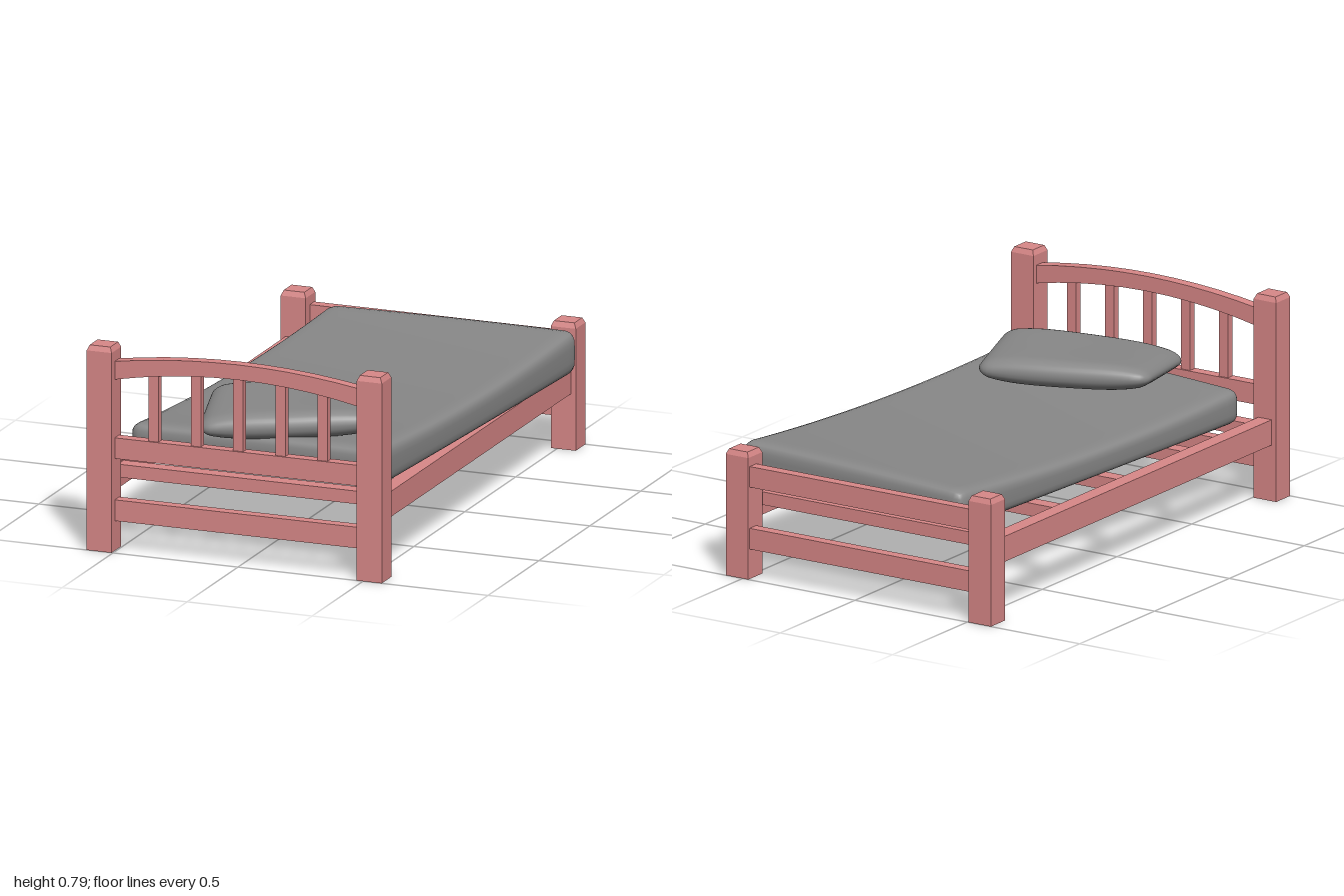
import * as THREE from 'three';
import { mergeVertices } from 'three/addons/utils/BufferGeometryUtils.js';

const CX = -0.015; // frame centre line
const wood = new THREE.MeshStandardMaterial({ color: 0xd98888, flatShading: true, side: THREE.DoubleSide });
const cloth = new THREE.MeshStandardMaterial({ color: 0x888888 });

function add(parent, name, geometry, material, x = 0, y = 0, z = 0) {
  const mesh = new THREE.Mesh(geometry, material);
  mesh.name = name;
  mesh.position.set(x, y, z);
  parent.add(mesh);
  return mesh;
}

// Box given by its centre in x and z and its lower and upper height
function bar(parent, name, x, z, y0, y1, w, d) {
  return add(parent, name, new THREE.BoxGeometry(w, y1 - y0, d), wood, x, (y0 + y1) / 2, z);
}

// Square post, chamfered on top and open underneath
function post(parent, name, x, z, h) {
  const k = Math.SQRT1_2;
  const profile = [[k, 0], [k, h - 0.02], [k * 0.82, h], [0, h]].map(p => new THREE.Vector2(...p));
  const g = new THREE.LatheGeometry(profile, 4);
  g.rotateY(Math.PI / 4);
  g.scale(0.1, 1, 0.094);
  add(parent, name, g, wood, x, 0, z);
}

// Soft rounded slab; warp receives the rounded point and its plan position (-1..1)
function softSlab(hx, hy, hz, r, warp) {
  let g = new THREE.BoxGeometry(2, 2, 2, 24, 10, 28);
  g.deleteAttribute('normal');
  g.deleteAttribute('uv');
  g = mergeVertices(g);
  const pos = g.attributes.position;
  const inner = new THREE.Vector3(hx - r, hy - r, hz - r);
  const low = inner.clone().negate();
  const p = new THREE.Vector3(), q = new THREE.Vector3();
  const ease = t => Math.sin(t * Math.PI / 2); // rows gather near the edges
  for (let i = 0; i < pos.count; i++) {
    p.fromBufferAttribute(pos, i);
    p.set(hx * ease(p.x), hy * ease(p.y), hz * ease(p.z));
    q.copy(p).clamp(low, inner);
    p.sub(q).setLength(r).add(q);
    warp(p, p.x / hx, p.z / hz);
    pos.setXYZ(i, p.x, p.y, p.z);
  }
  g.computeVertexNormals();
  return g;
}

// Blend four corner points: back right, back left, front right, front left
function blend(corners, u, v) {
  const weights = [(1 - u) * (1 - v), (1 + u) * (1 - v), (1 - u) * (1 + v), (1 + u) * (1 + v)];
  const out = new THREE.Vector3();
  corners.forEach((c, i) => out.addScaledVector(new THREE.Vector3(...c), weights[i] / 4));
  return out;
}

export function createModel() {
  const bed = new THREE.Group();
  bed.name = 'bed';
  const frame = new THREE.Group();
  frame.name = 'frame';
  frame.position.x = CX;
  bed.add(frame);

  // Posts and side rails
  for (const s of [-1, 1]) {
    post(frame, 'headPost', s * 0.54, 0.953, 0.79);
    post(frame, 'footPost', s * 0.54, -0.953, 0.49);
    bar(frame, 'sideRail', s * 0.54, 0, 0.217, 0.315, 0.06, 1.812);
  }

  // Cross rails at head and foot
  for (const z of [0.947, -0.968]) {
    bar(frame, 'lowerRail', 0, z, 0.115, 0.196, 0.98, 0.044);
    bar(frame, 'upperRail', 0, z, 0.355, 0.435, 0.98, 0.044);
  }

  // Slats under the mattress
  for (let i = -2; i <= 2; i++) bar(frame, 'slat', 0, i * 0.43, 0.26, 0.31, 1.02, 0.058);

  // Arched head rail
  const arch = new THREE.Shape();
  arch.moveTo(-0.49, 0.66);
  arch.quadraticCurveTo(0, 0.764, 0.49, 0.66);
  arch.lineTo(0.49, 0.73);
  arch.quadraticCurveTo(0, 0.81, -0.49, 0.73);
  const archGeo = new THREE.ExtrudeGeometry(arch, { depth: 0.044, bevelEnabled: false, curveSegments: 10 });
  add(frame, 'archRail', archGeo, wood, 0, 0, 0.925);

  // Headboard spindles, reaching into the arch
  for (let i = -2; i <= 2; i++) {
    const x = i * 0.169;
    bar(frame, 'spindle', x, 0.947, 0.43, 0.722 - 0.21 * x * x, 0.04, 0.03);
  }

  // Mattress, skewed on the frame and sagging in the middle
  const mattressTop = [[-0.415, 0.465, -0.915], [0.605, 0.487, -0.862], [-0.515, 0.45, 0.812], [0.512, 0.475, 0.872]];
  const mattress = softSlab(0.51, 0.08, 0.87, 0.045, (p, u, v) => {
    const c = blend(mattressTop, u, v);
    const top = c.y - 0.033 * (1 - v * v) + 0.004 * (1 - u * u);
    p.set(c.x, 0.313 + (top - 0.313) * (p.y / 0.16 + 0.5), c.z);
  });
  add(bed, 'mattress', mattress, cloth);

  // Pillow, thinner at its ends, long edges bulging
  const pillowCorners = [[-0.3, 0.518, 0.5], [0.335, 0.5, 0.31], [-0.195, 0.482, 0.915], [0.46, 0.526, 0.705]];
  const pillow = softSlab(0.33, 0.054, 0.2, 0.05, (p, u, v) => {
    const c = blend(pillowCorners, u, v);
    const thin = 1 - 0.5 * u ** 4 - 0.12 * v ** 4;
    const bulge = 0.022 * v * (1 - u * u);
    p.set(c.x + bulge * 0.3, c.y + p.y * thin, c.z + bulge);
  });
  add(bed, 'pillow', pillow, cloth);

  return bed;
}
